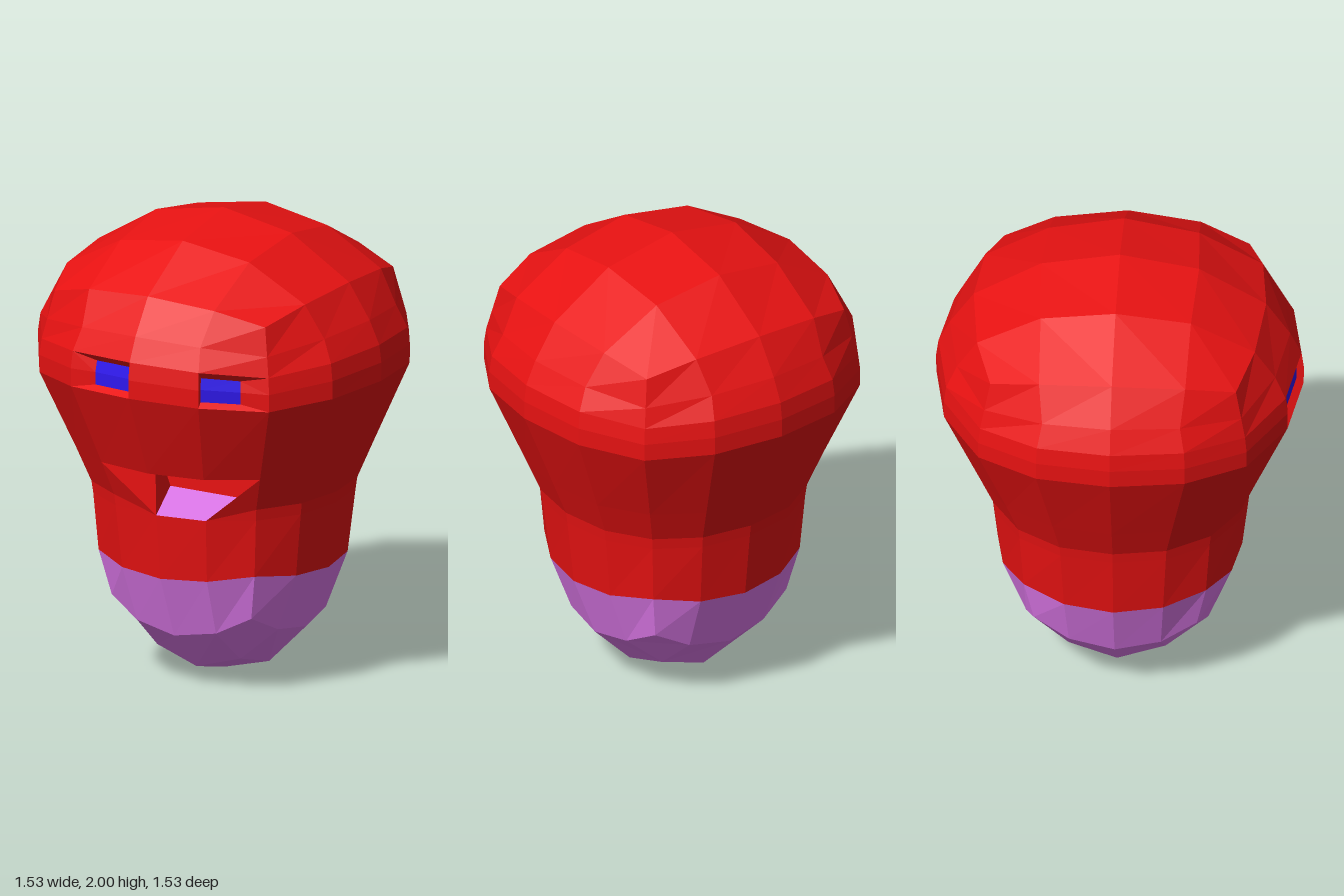
import * as THREE from 'three';

const RED = 0xe81212, PURPLE = 0xe57cf2, BLUE = 0x3018f0;

// Walk round the border of a 4 x 4 grid, from the front towards +x
const WALK = [0, 1, 2, 2, 2, 2, 2, 1, 0, -1, -2, -2, -2, -2, -2, -1];

// A ring: height, radius, drop at the corners, corner and quarter proportions
const ring = (y, a, dy = 0, c = 0.73, s = 0.405, q = 0.935) => ({ y, a, dy, c, s, q });

// Point of a squared ring at grid position i, j
function at(r, i, j) {
  const m = Math.max(Math.abs(i), Math.abs(j)), n = Math.min(Math.abs(i), Math.abs(j));
  if (m === 0) return new THREE.Vector3(0, r.y, 0);
  let big = r.a, small = 0, y = r.y;
  if (n === m) { big = small = r.a * r.c; y += r.dy; }
  else if (n > 0) { big = r.a * r.q; small = r.a * r.s; y += r.dy * 0.3; }
  const axis = v => Math.sign(v) * (Math.abs(v) === m ? big : small);
  return new THREE.Vector3(axis(i), y, axis(j));
}
const col = (r, k) => at(r, WALK[(k + 16) % 16], WALK[(k + 20) % 16]);

// Flat-shaded mesh from a list of polygons, each split as a fan
function faceted(name, polygons, color, side = THREE.FrontSide) {
  const pts = [];
  for (const p of polygons)
    for (let i = 1; i < p.length - 1; i++) pts.push(p[0], p[i], p[i + 1]);
  const geometry = new THREE.BufferGeometry().setFromPoints(pts);
  geometry.computeVertexNormals();
  const mesh = new THREE.Mesh(geometry, new THREE.MeshStandardMaterial({ color, flatShading: true, side }));
  mesh.name = name;
  return mesh;
}

// Bands between successive rings, leaving out the cells named by skip
function bands(rings, skip = () => false) {
  const out = [];
  for (let n = 0; n < rings.length - 1; n++)
    for (let k = 0; k < 16; k++) {
      if (skip(n, k)) continue;
      const u = rings[n], l = rings[n + 1];
      out.push([col(l, k), col(l, k + 1), col(u, k + 1), col(u, k)]);
    }
  return out;
}

// Domed 4 x 4 cap closing a ring
function cap(edge, inner, tip, up) {
  const point = (i, j) => {
    const m = Math.max(Math.abs(i), Math.abs(j));
    return at(m === 2 ? edge : m === 1 ? inner : tip, i, j);
  };
  const out = [];
  for (let i = -2; i < 2; i++)
    for (let j = -2; j < 2; j++) {
      const f = [point(i, j + 1), point(i + 1, j + 1), point(i + 1, j), point(i, j)];
      out.push(up ? f : f.reverse());
    }
  return out;
}

export function createModel() {
  const model = new THREE.Group();
  model.name = 'head';

  const crown = ring(1.77, 0.61, -0.08, 0.84, 0.5, 0.95);
  const eyeTop = ring(1.52, 0.757, -0.035);
  const eyeMid = ring(1.445, 0.767, -0.03);
  const eyeLow = ring(1.365, 0.766, -0.025);
  const lip = ring(1.0, 0.613);
  const neck = ring(0.85, 0.55);
  const mouthLow = ring(0.8, 0.543);
  const chinTop = ring(0.515, 0.51, 0.035, 0.745);
  const chinLow = ring(0.24, 0.4, 0.11, 0.85, 0.48, 0.95);

  // Head, with cells left out for the eyes and mouth
  const rings = [crown, ring(1.62, 0.71, -0.05, 0.755), eyeTop, eyeMid, eyeLow, lip, neck, mouthLow, chinTop];
  const skin = bands(rings, (n, k) =>
    ((n === 2 || n === 3) && (k === 15 || k === 1)) ||
    ((n === 5 || n === 6) && (k === 15 || k === 0 || k === 1)));
  skin.push(...cap(crown, ring(1.94, 0.33, -0.05, 0.95), ring(2, 0), true));
  // Cheeks beside the slanted mouth corners
  const lowL = col(mouthLow, 0), lowR = col(mouthLow, 1);
  skin.push([lowL, col(lip, -1), col(neck, -1), col(mouthLow, -1)]);
  skin.push([lowR, col(mouthLow, 2), col(neck, 2), col(lip, 2)]);
  model.add(faceted('headSkin', skin, RED));

  // Chin
  model.add(faceted('chin', [
    ...bands([chinTop, chinLow]),
    ...cap(chinLow, ring(0.06, 0.22, 0.06, 0.92), ring(0, 0), false),
  ], PURPLE));

  // Shallow eye sockets, each with a bent blue panel from t0 to t1 of its width
  const eye = (name, k, t0, t1) => {
    const rows = [[eyeTop, -0.03], [eyeMid, -0.005], [eyeLow, 0.02]];
    const inner = rows.map(([r, dy]) => [t0, t1].map(t => {
      const p = col(r, k).lerp(col(r, k + 1), t);
      return p.set(p.x * 0.98, p.y + dy, p.z * 0.96);
    }));
    const outer = rows.map(([r]) => [col(r, k), col(r, k + 1)]);
    const loop = g => [g[0][0], g[1][0], g[2][0], g[2][1], g[1][1], g[0][1]];
    const o = loop(outer), n = loop(inner);
    const walls = o.map((p, i) => [p, o[(i + 1) % 6], n[(i + 1) % 6], n[i]]);
    const panel = [0, 1].map(i => [inner[i + 1][0], inner[i + 1][1], inner[i][1], inner[i][0]]);
    model.add(faceted(name + 'Socket', walls, RED, THREE.DoubleSide));
    model.add(faceted(name, panel, BLUE));
  };
  eye('rightEye', 15, 0.35, 1);
  eye('leftEye', 1, 0, 0.58);

  // Mouth cavity with a purple floor
  const v = (x, y, z) => new THREE.Vector3(x, y, z);
  const floor = [lowL, lowR, v(0.38, 0.8, 0.36), v(0.38, 0.8, 0.15), v(-0.17, 0.8, 0.15), v(-0.17, 0.8, 0.44)];
  const topL = v(-0.245, 1, 0.15), topR = v(0.42, 1, 0.15);
  const cornerL = col(lip, -1), cornerR = col(lip, 2);
  model.add(faceted('mouthFloor', [floor], PURPLE, THREE.DoubleSide));
  model.add(faceted('mouthCavity', [
    [topL, cornerL, col(lip, 0), col(lip, 1), cornerR, topR],
    [floor[4], floor[3], topR, topL],
    [cornerL, topL, floor[4], floor[5], lowL].reverse(),
    [cornerR, lowR, floor[2], floor[3], topR].reverse(),
  ], RED, THREE.DoubleSide));

  return model;
}
